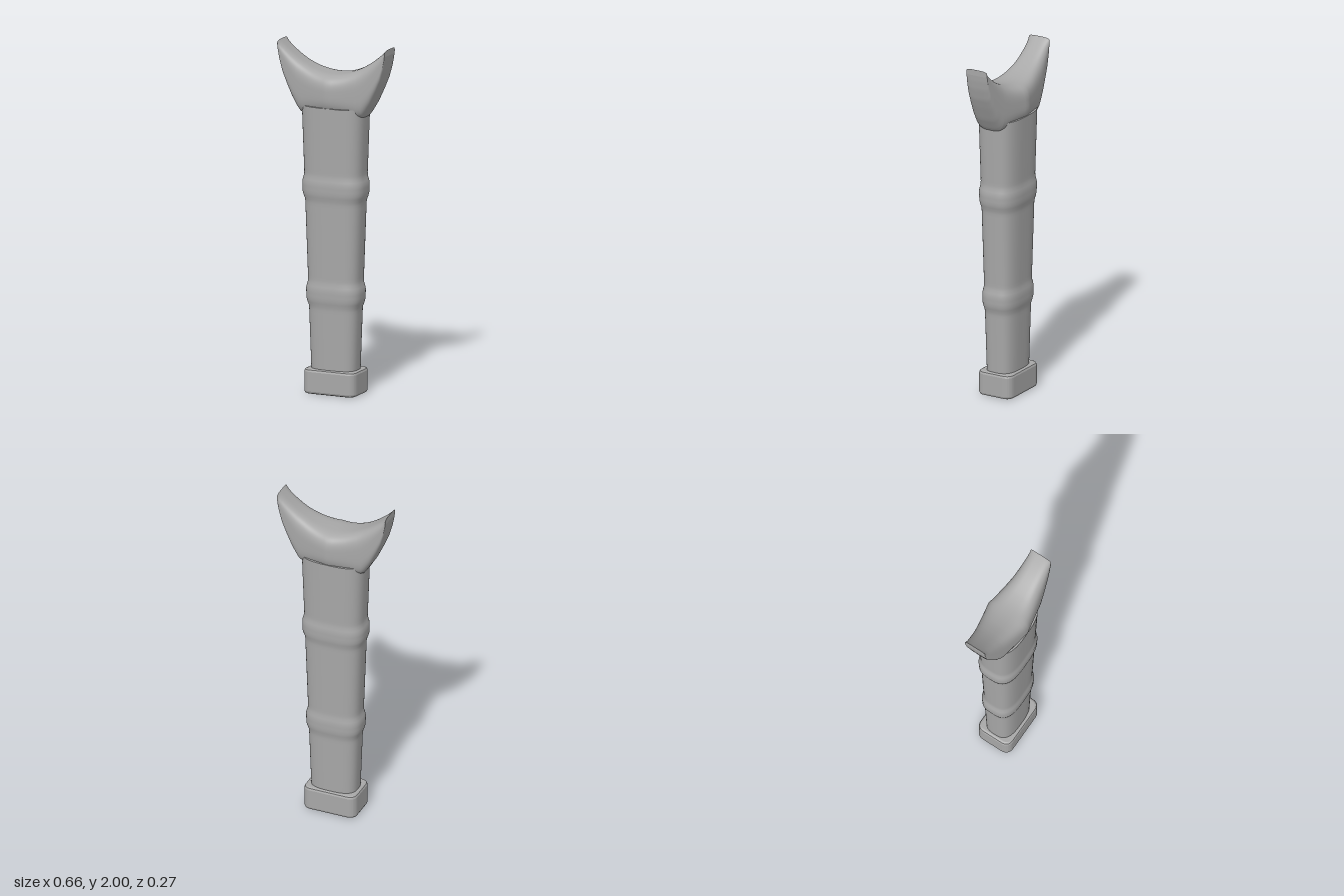
import * as THREE from 'three';

const grey = new THREE.MeshStandardMaterial({ color: 0xa8a8a8 });
grey.name = 'plain grey';

// Signed power, used for superellipse outlines
const spow = (v, p) => Math.sign(v) * Math.pow(Math.abs(v), p);

// Skins a list of closed rings (arrays of Vector3), capping both ends
function loft(rings, name) {
  const n = rings[0].length, pos = [], idx = [];
  rings.forEach(r => r.forEach(p => pos.push(p.x, p.y, p.z)));
  for (let i = 0; i < rings.length - 1; i++) {
    for (let j = 0; j < n; j++) {
      const a = i * n + j, b = i * n + (j + 1) % n;
      idx.push(a, a + n, b, b, a + n, b + n);
    }
  }
  // Caps have their own vertices so that their edges stay sharp
  [rings[0], rings[rings.length - 1]].forEach((r, end) => {
    const start = pos.length / 3;
    const c = r.reduce((s, p) => s.add(p), new THREE.Vector3()).divideScalar(n);
    r.forEach(p => pos.push(p.x, p.y, p.z));
    pos.push(c.x, c.y, c.z);
    for (let j = 0; j < n; j++) {
      const a = start + j, b = start + (j + 1) % n;
      if (end) idx.push(start + n, b, a);
      else idx.push(start + n, a, b);
    }
  });
  const g = new THREE.BufferGeometry();
  g.setAttribute('position', new THREE.Float32BufferAttribute(pos, 3));
  g.setIndex(idx);
  g.computeVertexNormals();
  const mesh = new THREE.Mesh(g, grey);
  mesh.name = name;
  return mesh;
}

// Tapered grip with two swollen bands
function makeGrip() {
  const rings = [], steps = 80, seg = 64;
  const swell = (y, c) => 1 - THREE.MathUtils.smoothstep(Math.abs(y - c), 0.025, 0.08);
  for (let i = 0; i <= steps; i++) {
    const y = 0.12 + 1.53 * i / steps;
    const k = (y - 0.14) / 1.46;
    const bulge = swell(y, 0.57) + swell(y, 1.18);
    const w = 0.137 + 0.051 * k + 0.013 * bulge;
    const d = 0.09 + 0.034 * k + 0.009 * bulge;
    const ring = [];
    for (let j = 0; j < seg; j++) {
      const a = j / seg * Math.PI * 2;
      ring.push(new THREE.Vector3(w * spow(Math.cos(a), 2 / 3), y, d * spow(Math.sin(a), 2 / 3)));
    }
    rings.push(ring);
  }
  return loft(rings, 'grip');
}

// Crescent head: upright sections swept from one horn tip to the other
function makeHead() {
  // Underside of one half: x, y
  const under = [[0, 1.595], [0.1, 1.592], [0.165, 1.59], [0.19, 1.6], [0.205, 1.62], [0.238, 1.675],
    [0.275, 1.755], [0.3, 1.815], [0.318, 1.88], [0.327, 1.93], [0.331, 1.965]];
  const half = [];
  for (let i = 0; i < under.length - 1; i++) {
    for (let s = 0; s < 4; s++) {
      const t = s / 4;
      half.push(under[i].map((v, k) => v + (under[i + 1][k] - v) * t));
    }
  }
  half.push(under[under.length - 1]);
  const stations = [...half.slice(1).reverse().map(([x, y]) => [-x, y]), ...half];
  const seg = 64;
  const rings = stations.map(([x, bottom]) => {
    const u = Math.abs(x) / 0.331;
    const top = 1.836 + 0.164 * u * u;
    const depth = 0.135 - 0.067 * u;
    const mid = (top + bottom) / 2, h = (top - bottom) / 2;
    const ring = [];
    for (let j = 0; j < seg; j++) {
      const a = j / seg * Math.PI * 2;
      const n = Math.sin(a) >= 0 ? 3.4 : 2.5 + 2.5 * u * u;
      ring.push(new THREE.Vector3(x, mid + h * spow(Math.sin(a), 2 / n), depth * spow(Math.cos(a), 2 / n)));
    }
    return ring;
  });
  return loft(rings, 'crescentHead');
}

// Rounded foot block with bevelled rims
function makeFoot() {
  const w = 0.145, d = 0.095, r = 0.035, s = new THREE.Shape();
  s.moveTo(-w + r, -d);
  s.lineTo(w - r, -d);
  s.quadraticCurveTo(w, -d, w, -d + r);
  s.lineTo(w, d - r);
  s.quadraticCurveTo(w, d, w - r, d);
  s.lineTo(-w + r, d);
  s.quadraticCurveTo(-w, d, -w, d - r);
  s.lineTo(-w, -d + r);
  s.quadraticCurveTo(-w, -d, -w + r, -d);
  const g = new THREE.ExtrudeGeometry(s, {
    depth: 0.112, bevelThickness: 0.015, bevelSize: 0.015, bevelSegments: 2, curveSegments: 8,
  });
  g.rotateX(-Math.PI / 2);
  g.translate(0, 0.015, 0);
  const mesh = new THREE.Mesh(g, grey);
  mesh.name = 'foot';
  return mesh;
}

export function createModel() {
  const model = new THREE.Group();
  model.name = 'crescentHandle';
  model.add(makeFoot(), makeGrip(), makeHead());
  return model;
}
